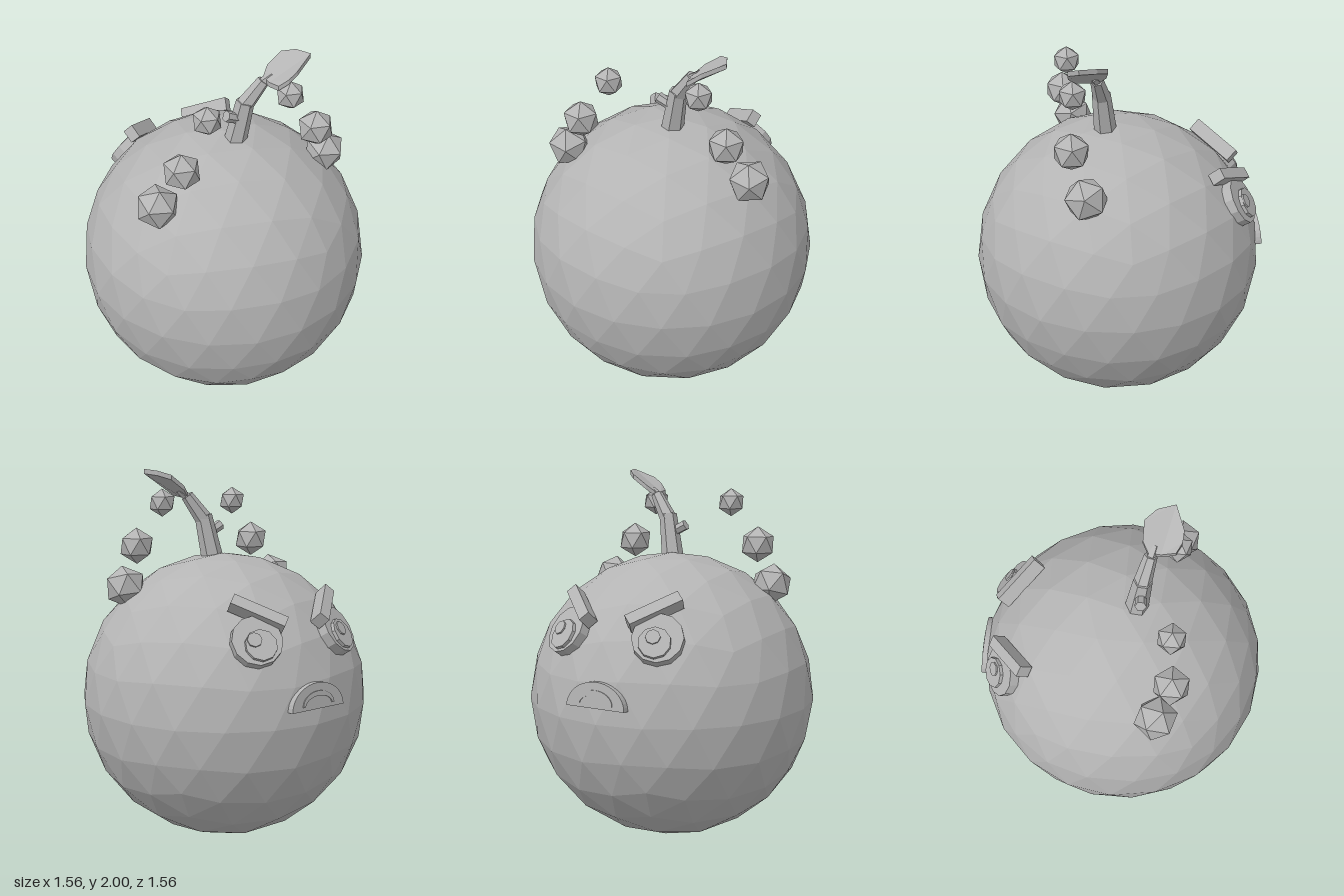
import * as THREE from 'three';

const V = (x, y, z) => new THREE.Vector3(x, y, z);
const CENTRE = V(0, 0.778, 0);

// Icosahedron standing on a vertex, optionally subdivided into a sphere
function icoBall(radius, detail) {
  const pts = [0, 1, 0], faces = [];
  const h = 1 / Math.sqrt(5), w = 2 * h;
  for (let ring = 0; ring < 2; ring++) {
    for (let k = 0; k < 5; k++) {
      const a = (k + ring / 2) * Math.PI * 0.4;
      pts.push(w * Math.cos(a), ring ? -h : h, -w * Math.sin(a));
    }
  }
  pts.push(0, -1, 0);
  for (let k = 0; k < 5; k++) {
    const n = (k + 1) % 5, u = 1 + k, u2 = 1 + n, l = 6 + k, l2 = 6 + n;
    faces.push(0, u, u2, u, l, u2, u2, l, l2, 11, l2, l);
  }
  return new THREE.PolyhedronGeometry(pts, faces, radius, detail);
}

export function createModel() {
  const model = new THREE.Group();
  model.name = 'grumpyFruit';
  const grey = new THREE.MeshStandardMaterial({ color: 0xb4b4b4, flatShading: true });
  grey.name = 'plain grey';

  const add = (name, geometry, parent = model) => {
    const mesh = new THREE.Mesh(geometry, grey);
    mesh.name = name;
    parent.add(mesh);
    return mesh;
  };

  // Tapered rod between two points
  const rod = (name, a, b, ra, rb, sides) => {
    const dir = b.clone().sub(a);
    const mesh = add(name, new THREE.CylinderGeometry(rb, ra, dir.length(), sides));
    mesh.position.copy(a).add(b).multiplyScalar(0.5);
    mesh.quaternion.setFromUnitVectors(V(0, 1, 0), dir.normalize());
  };

  // Disc whose axis points along the parent's z
  const disc = (name, parent, r, depth, sides, x, y, z) => {
    const g = new THREE.CylinderGeometry(r, r * 1.02, depth, sides).rotateX(Math.PI / 2);
    add(name, g, parent).position.set(x, y, z);
  };

  // Body
  add('body', icoBall(0.778, 3)).position.copy(CENTRE);

  // Floating gems, three a side: x, y, z, radius
  const gems = [[0.235, 1.82, 0.245, 0.075], [0.388, 1.595, 0.265, 0.097], [0.497, 1.39, 0.205, 0.113]];
  for (const s of [-1, 1]) {
    gems.forEach(([x, y, z, r], i) => {
      const gem = add('gem', icoBall(r, 0));
      gem.position.set(s * x, y, z);
      if (i === 2) gem.rotation.x = 0.3;
    });
  }

  // Bent stem with a cut-off side twig
  rod('lowerStem', V(0.03, 1.52, 0.065), V(0.073, 1.755, 0.09), 0.06, 0.047, 6);
  rod('upperStem', V(0.065, 1.725, 0.085), V(0.158, 1.86, 0.118), 0.047, 0.033, 6);
  rod('leafStalk', V(0.145, 1.845, 0.115), V(0.2, 1.89, 0.135), 0.026, 0.018, 5);
  rod('twig', V(0.05, 1.655, 0.085), V(-0.038, 1.7, 0.088), 0.026, 0.029, 6);

  // Leaf: outline seen from above, sheared to climb towards its tip
  const outline = [[0.163, 0.105], [0.205, 0.075], [0.285, 0.075], [0.335, 0.13], [0.362, 0.218],
    [0.255, 0.265], [0.21, 0.262], [0.17, 0.235], [0.16, 0.165]];
  const leafShape = new THREE.Shape(outline.map(([x, z]) => new THREE.Vector2(x, -z)));
  const leaf = new THREE.ExtrudeGeometry(leafShape, { depth: 0.025, bevelEnabled: false });
  leaf.rotateX(-Math.PI / 2);
  const p = leaf.attributes.position;
  for (let i = 0; i < p.count; i++) {
    const t = (p.getX(i) - 0.16) / 0.2;
    p.setY(i, p.getY(i) + 1.848 + 0.127 * t + 0.02 * Math.sin(Math.PI * t));
  }
  leaf.computeVertexNormals();
  add('leaf', leaf);

  // Eyes and slanted brows
  for (const s of [-1, 1]) {
    const eye = new THREE.Group();
    eye.name = 'eye';
    eye.position.set(s * 0.26, 1.2, -0.62);
    eye.lookAt(eye.position.clone().multiplyScalar(2).sub(CENTRE));
    model.add(eye);
    disc('eyeball', eye, 0.128, 0.07, 12, 0, 0, -0.022);
    disc('pupil', eye, 0.08, 0.02, 10, s * 0.012, -0.03, 0.02);
    disc('glint', eye, 0.037, 0.01, 8, -0.02, -0.005, 0.033);

    const outer = V(s * 0.305, 1.372, -0.475), inner = V(s * 0.115, 1.265, -0.65);
    const brow = add('brow', new THREE.BoxGeometry(0.285, 0.06, 0.075));
    brow.position.copy(outer).add(inner).multiplyScalar(0.5);
    const along = outer.clone().sub(inner).normalize();
    const out = brow.position.clone().sub(CENTRE);
    out.addScaledVector(along, -out.dot(along)).normalize();
    brow.quaternion.setFromRotationMatrix(
      new THREE.Matrix4().makeBasis(along, out.clone().cross(along), out));
  }

  // Frowning mouth: half oval with a thin raised lip arc
  const mouth = new THREE.Group();
  mouth.name = 'mouth';
  mouth.position.set(0, 0.856, -0.742);
  mouth.lookAt(V(0, 0.856 + 0.09, -1.742));
  model.add(mouth);
  const dome = new THREE.Shape();
  dome.absellipse(0, 0, 0.165, 0.13, 0, Math.PI);
  add('mouthPlate', new THREE.ExtrudeGeometry(dome, { depth: 0.04, bevelEnabled: false, curveSegments: 10 }), mouth);
  const arc = new THREE.Shape();
  arc.absellipse(0, 0.02, 0.1, 0.07, 0, Math.PI);
  arc.absellipse(0, 0.02, 0.085, 0.045, Math.PI, 0, true);
  add('lipArc', new THREE.ExtrudeGeometry(arc, { depth: 0.006, bevelEnabled: false, curveSegments: 8 }), mouth)
    .position.z = 0.039;

  return model;
}
